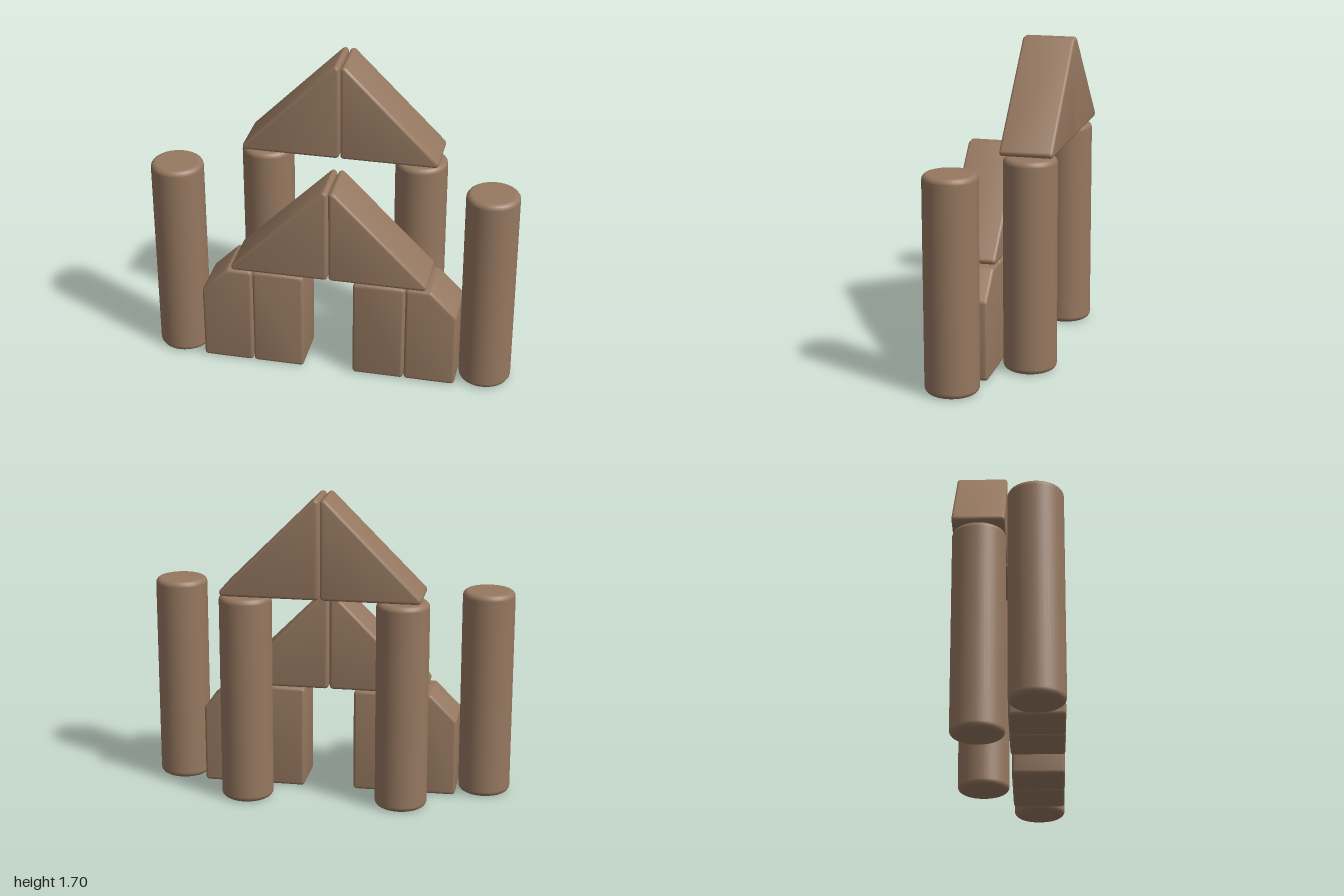
import * as THREE from 'three';
import { toCreasedNormals } from 'three/addons/utils/BufferGeometryUtils.js';

const wood = new THREE.MeshStandardMaterial({ color: 0x967860 });
wood.name = 'wood';

const FILLET = 0.02, BEVEL = 0.015;

// Convex counter-clockwise outline with every corner rounded
function roundedShape(corners) {
  const pts = corners.map(([x, y]) => new THREE.Vector2(x, y));
  const shape = new THREE.Shape();
  pts.forEach((p, i) => {
    const a = pts[(i + pts.length - 1) % pts.length], b = pts[(i + 1) % pts.length];
    const toA = a.clone().sub(p).normalize(), toB = b.clone().sub(p).normalize();
    const half = Math.acos(toA.dot(toB)) / 2;
    const c = toA.clone().add(toB).normalize().multiplyScalar(FILLET / Math.sin(half)).add(p);
    const start = Math.atan2(toA.x, -toA.y);
    shape.absarc(c.x, c.y, FILLET, start, start + Math.PI - 2 * half, false);
  });
  return shape;
}

// Wooden block: softened outline extruded from zBack to zFront
function block(name, corners, zBack, zFront) {
  const geo = new THREE.ExtrudeGeometry(roundedShape(corners), {
    depth: zFront - zBack - 2 * BEVEL, curveSegments: 2,
    bevelEnabled: true, bevelThickness: BEVEL, bevelSize: BEVEL,
    bevelOffset: -BEVEL, bevelSegments: 3,
  });
  geo.translate(0, 0, zBack + BEVEL);
  const mesh = new THREE.Mesh(toCreasedNormals(geo, 0.6), wood);
  mesh.name = name;
  return mesh;
}

// Mirror an outline across x = 0, keeping it counter-clockwise
const mirror = (corners) => corners.map(([x, y]) => [-x, y]).reverse();

// Round pillar with softened rims
function pillar(name, x, z) {
  const r = 0.1425, h = 1.15, e = 0.03;
  const profile = [new THREE.Vector2(0, 0)];
  for (let i = 0; i <= 4; i++) {
    const t = (i / 4) * Math.PI / 2;
    profile.push(new THREE.Vector2(r - e + e * Math.sin(t), e - e * Math.cos(t)));
  }
  for (let i = 0; i <= 4; i++) {
    const t = (i / 4) * Math.PI / 2;
    profile.push(new THREE.Vector2(r - e + e * Math.cos(t), h - e + e * Math.sin(t)));
  }
  profile.push(new THREE.Vector2(0, h));
  const mesh = new THREE.Mesh(new THREE.LatheGeometry(profile, 40), wood);
  mesh.name = name;
  mesh.position.set(x, 0, z);
  return mesh;
}

export function createModel() {
  const model = new THREE.Group();
  model.name = 'toyBlockCastle';

  const roof = (y) => [[0.003, y], [0.567, y], [0.003, y + 0.565]];
  const supports = [[0.138, 0.003], [0.422, 0.003], [0.422, 0.577], [0.138, 0.577]];
  const chamfered = [[0.426, 0.003], [0.708, 0.003], [0.708, 0.435], [0.566, 0.577], [0.426, 0.577]];

  for (const [side, s] of [['left', 1], ['right', -1]]) {
    const outline = (c) => (s > 0 ? c : mirror(c));
    model.add(
      pillar(side + 'FrontPillar', s * 0.857, 0.152),
      pillar(side + 'BackPillar', s * 0.427, -0.152),
      block(side + 'SupportBlock', outline(supports), 0.008, 0.292),
      block(side + 'ChamferedBlock', outline(chamfered), 0.008, 0.292),
      block(side + 'LowerRoofWedge', outline(roof(0.582)), 0.008, 0.292),
      block(side + 'UpperRoofWedge', outline(roof(1.167)), -0.294, -0.012),
    );
  }
  return model;
}
